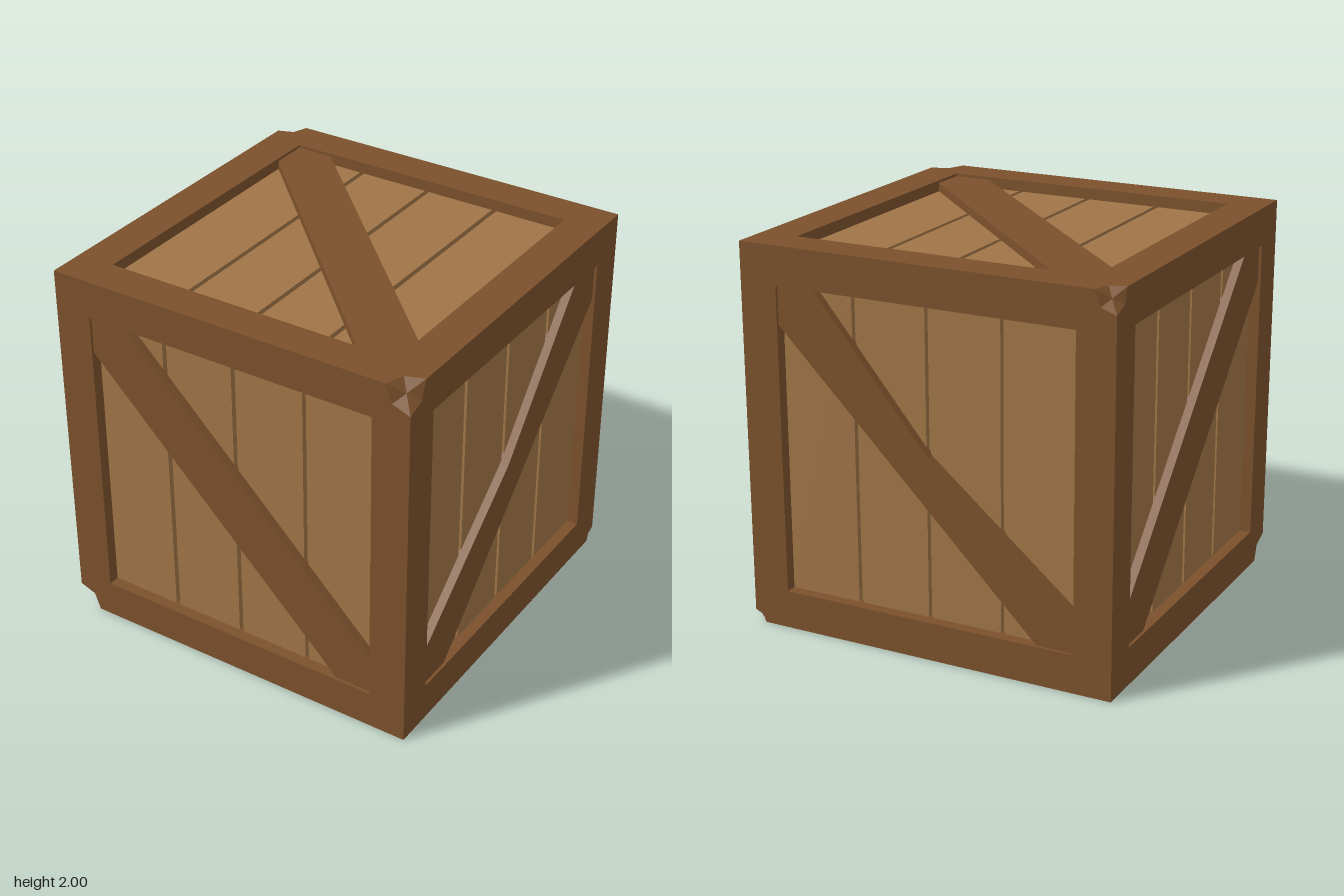
import * as THREE from 'three';

const timber = new THREE.MeshStandardMaterial({ color: 0x7b512c, flatShading: true });
timber.name = 'darkTimber';
const board = new THREE.MeshStandardMaterial({ color: 0xa07547, flatShading: true });
board.name = 'lightBoard';

const INNER = 0.8;    // half size of the framed opening
const PANEL = 0.94;   // distance of the boards from the crate centre
const BRACE = 0.985;  // distance of the brace front
const GROOVE = 0.025;

// Size of the broken corner at a given sign triple (0 = intact)
const chips = { '1,1,1': 0.13, '-1,1,-1': 0.11, '-1,-1,1': 0.12, '1,-1,-1': 0.06 };
const inset = (s) => s * 0.73;

function add(parent, name, geometry, material) {
  const mesh = new THREE.Mesh(geometry, material);
  mesh.name = name;
  parent.add(mesh);
  return mesh;
}

// Flat square frame with an opening and notched corners
function frameGeometry(rotation) {
  const points = [];
  for (const [u, v] of [[1, 1], [-1, 1], [-1, -1], [1, -1]]) {
    const c = new THREE.Vector3(u, v, 1).applyEuler(rotation);
    const s = chips[c.toArray().slice(0, 3).map((n) => Math.round(n)).join(',')] || 0;
    if (!s) {
      points.push(new THREE.Vector2(u, v));
      continue;
    }
    const b = inset(s);
    const notch = [
      new THREE.Vector2(u, v * (1 - s)),
      new THREE.Vector2(u * (1 - b), v * (1 - b)),
      new THREE.Vector2(u * (1 - s), v),
    ];
    points.push(...(u * v > 0 ? notch : notch.reverse()));
  }
  const shape = new THREE.Shape(points);
  const h = INNER;
  shape.holes.push(new THREE.Path([[-h, -h], [-h, h], [h, h], [h, -h]].map((p) => new THREE.Vector2(...p))));
  return new THREE.ShapeGeometry(shape).translate(0, 0, 1);
}

// Diagonal brace; a notched one has a dent in its upper edge
function braceGeometry(mirror, notched) {
  const pts = [[-0.8, 0.8], [-0.8, 0.6], [0.6, -0.8], [0.8, -0.8], [0.8, -0.6]];
  if (notched) pts.push([0.02, 0.05]);
  pts.push([-0.6, 0.8]);
  const shape = new THREE.Shape(pts.map(([u, v]) => new THREE.Vector2(u * mirror, v)));
  const bottom = PANEL - 0.01;
  return new THREE.ExtrudeGeometry(shape, { depth: BRACE - bottom, bevelEnabled: false }).translate(0, 0, bottom);
}

// One side of the crate, built facing +z and then turned
function makeSide({ name, rot, mirror = 1, notched = false }) {
  const side = new THREE.Group();
  side.name = name;
  side.rotation.set(rot[0], rot[1], 0);
  add(side, 'frame', frameGeometry(side.rotation), timber);

  // Inner walls of the opening
  const depth = 1 - PANEL + 0.04;
  for (let i = 0; i < 4; i++) {
    const wall = new THREE.PlaneGeometry(INNER * 2, depth)
      .rotateX(Math.PI / 2).translate(0, INNER, 1 - depth / 2).rotateZ(i * Math.PI / 2);
    add(side, 'frameInnerWall', wall, timber);
  }

  // Four boards with grooves between them
  add(side, 'grooveFloor', new THREE.PlaneGeometry(INNER * 2, INNER * 2).translate(0, 0, PANEL - 0.03), board);
  for (let i = 0; i < 4; i++) {
    const left = -INNER + i * 0.4 + (i > 0 ? GROOVE / 2 : 0);
    const right = -INNER + (i + 1) * 0.4 - (i < 3 ? GROOVE / 2 : 0);
    const plank = new THREE.BoxGeometry(right - left, INNER * 2, 0.03);
    add(side, 'plank', plank.translate((left + right) / 2, 0, PANEL - 0.015), board);
  }
  add(side, 'brace', braceGeometry(mirror, notched), timber);
  return side;
}

// Faceted break surface closing a notched corner
function chipGeometry([x, y, z], s) {
  const a = 1 - s, b = 1 - inset(s), c = 1 - s * 0.43;
  const ring = [[a, 1, 1], [b, b, 1], [1, a, 1], [1, b, b], [1, 1, a], [b, 1, b]];
  const out = [];
  ring.forEach((p, i) => {
    const q = ring[(i + 1) % 6];
    const tri = x * y * z > 0 ? [[c, c, c], p, q] : [[c, c, c], q, p];
    tri.forEach((t) => out.push(t[0] * x, t[1] * y, t[2] * z));
  });
  const geo = new THREE.BufferGeometry();
  geo.setAttribute('position', new THREE.Float32BufferAttribute(out, 3));
  geo.computeVertexNormals();
  return geo;
}

export function createModel() {
  const crate = new THREE.Group();
  crate.name = 'woodenCrate';
  const body = new THREE.Group();
  body.name = 'crateBody';
  body.position.y = 1;
  crate.add(body);

  const q = Math.PI / 2;
  const sides = [
    { name: 'frontSide', rot: [0, 0] },
    { name: 'leftSide', rot: [0, q], mirror: -1, notched: true },
    { name: 'backSide', rot: [0, 2 * q], notched: true },
    { name: 'rightSide', rot: [0, -q], mirror: -1 },
    { name: 'topSide', rot: [-q, 0] },
    { name: 'bottomSide', rot: [q, 0] },
  ];
  sides.forEach((s) => body.add(makeSide(s)));

  for (const [key, size] of Object.entries(chips)) {
    add(body, 'chippedCorner', chipGeometry(key.split(',').map(Number), size), timber);
  }
  return crate;
}
